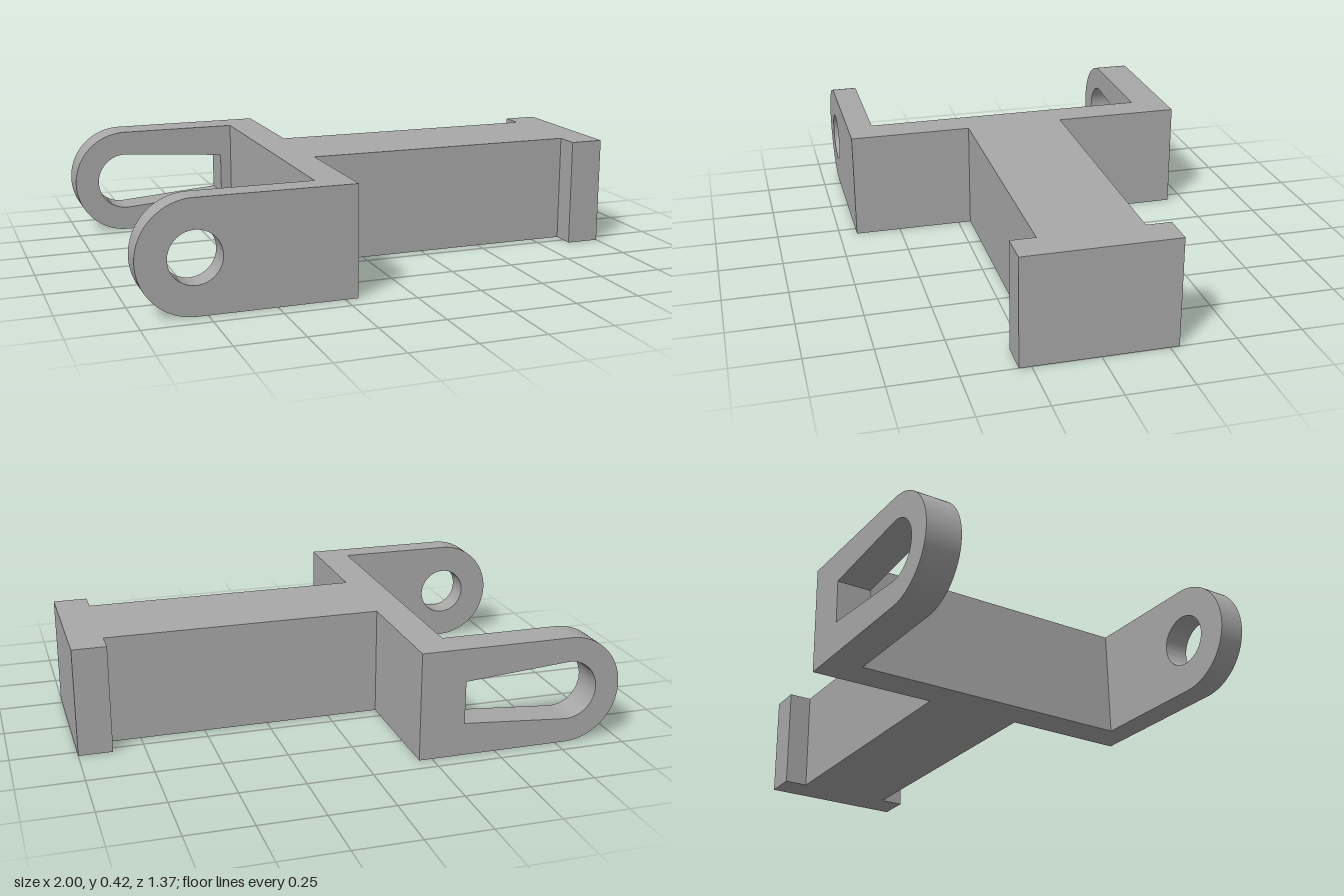
import * as THREE from 'three';
import { toCreasedNormals } from 'three/addons/utils/BufferGeometryUtils.js';

const HEIGHT = 0.42, MID = HEIGHT / 2;
const ARM_ROOT = -0.33, PIVOT = -0.79;

const grey = new THREE.MeshStandardMaterial({ color: 0xa8a8a8 });
grey.name = 'plain grey';

function extrude(shape, depth) {
  return new THREE.ExtrudeGeometry(shape, { depth, bevelEnabled: false, curveSegments: 32 });
}

function addMesh(group, name, geometry) {
  const mesh = new THREE.Mesh(toCreasedNormals(geometry, 0.5), grey);
  mesh.name = name;
  group.add(mesh);
}

// Round-ended arm lying in the x-y plane, from z0 to z1, with one opening
function armGeometry(hole, z0, z1) {
  const shape = new THREE.Shape();
  shape.moveTo(ARM_ROOT, 0);
  shape.lineTo(ARM_ROOT, HEIGHT);
  shape.lineTo(PIVOT, HEIGHT);
  shape.absarc(PIVOT, MID, MID, Math.PI / 2, Math.PI * 1.5, false);
  shape.closePath();
  shape.holes.push(hole);
  return extrude(shape, z1 - z0).translate(0, 0, z0);
}

export function createModel() {
  const group = new THREE.Group();
  group.name = 'forkBracket';

  // Crossbar, beam and end flange share one plan outline, given as [x, z]
  const plan = [
    [ARM_ROOT, 0.68], [-0.2, 0.68], [-0.2, 0.2], [0.87, 0.2], [0.87, 0.295], [1, 0.295],
    [1, -0.285], [0.87, -0.285], [0.87, -0.19], [-0.2, -0.19], [-0.2, -0.685], [ARM_ROOT, -0.685],
  ];
  const body = new THREE.Shape(plan.map(([x, z]) => new THREE.Vector2(x, -z)));
  addMesh(group, 'crossbarAndBeam', extrude(body, HEIGHT).rotateX(-Math.PI / 2));

  // Front arm with a round pin hole
  const pinHole = new THREE.Path();
  pinHole.absarc(PIVOT, MID, 0.098, 0, Math.PI * 2, true);
  addMesh(group, 'frontArm', armGeometry(pinHole, 0.58, 0.68));

  // Back arm with a slot that widens towards its round end
  const slot = new THREE.Path();
  const radius = 0.115, tilt = 0.076;
  slot.moveTo(-0.375, MID - 0.083);
  slot.lineTo(-0.375, MID + 0.083);
  slot.absarc(PIVOT, MID, radius, Math.PI / 2 - tilt, Math.PI * 1.5 + tilt, false);
  slot.closePath();
  addMesh(group, 'backArm', armGeometry(slot, -0.685, -0.55));

  return group;
}
